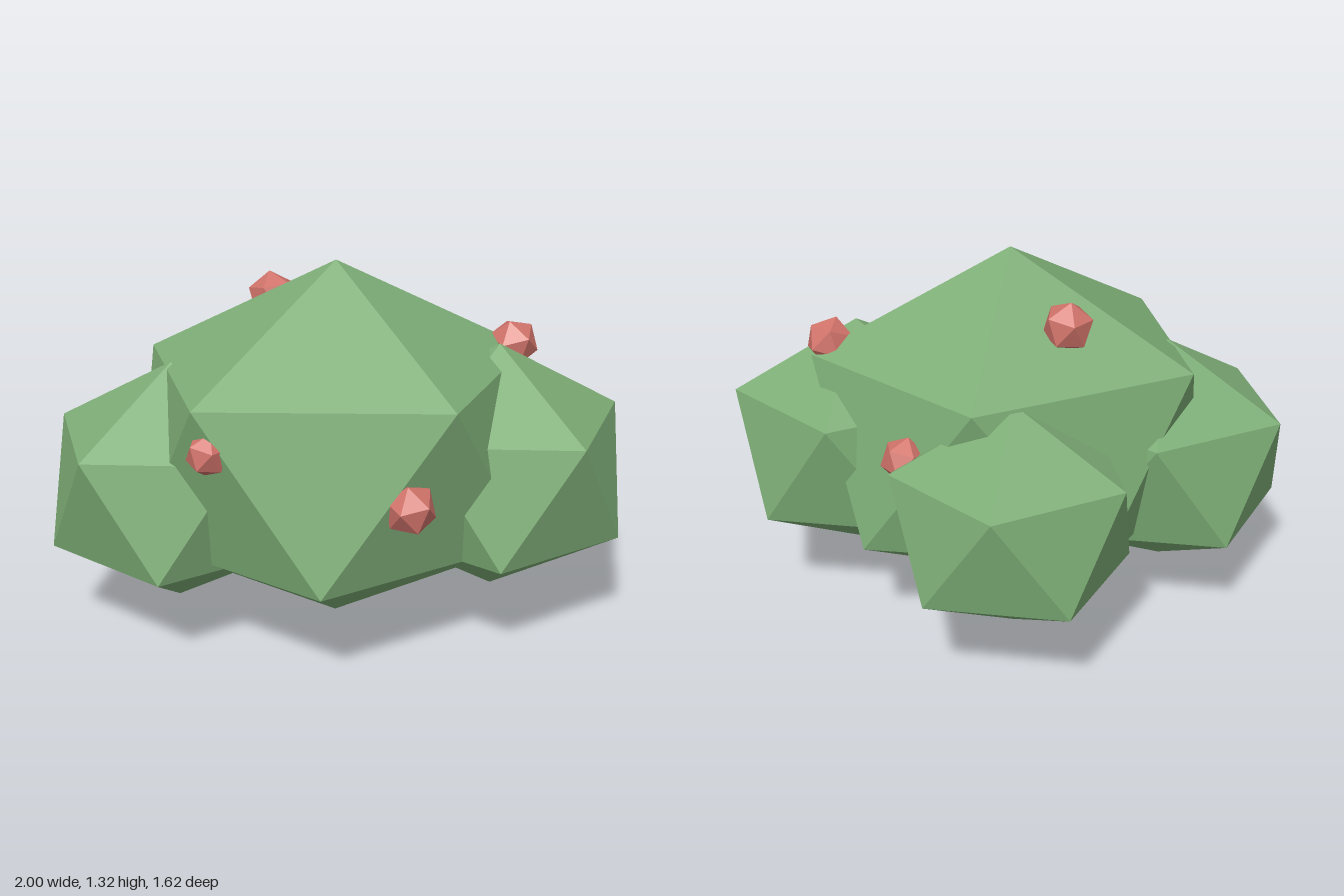
import * as THREE from 'three';

const leafGreen = new THREE.MeshStandardMaterial({ color: 0x7dad76 });
leafGreen.name = 'leafGreen';
const berryRed = new THREE.MeshStandardMaterial({ color: 0xd0736a });
berryRed.name = 'berryRed';

// Faceted ball standing on one vertex, with an upper-ring vertex towards +x
function facetedBall(rx, ry, rz) {
  const geometry = new THREE.IcosahedronGeometry(1, 0);
  geometry.rotateZ(-Math.atan(2 / (1 + Math.sqrt(5))));
  geometry.scale(rx, ry, rz);
  geometry.computeVertexNormals();
  return geometry;
}

export function createModel() {
  const bush = new THREE.Group();
  bush.name = 'berryBush';

  function add(name, geometry, material, position, rotation = [0, 0, 0]) {
    const mesh = new THREE.Mesh(geometry, material);
    mesh.name = name;
    mesh.position.set(...position);
    mesh.rotation.set(...rotation);
    bush.add(mesh);
  }

  // Foliage: one large clump with three smaller ones around it
  add('mainFoliage', facetedBall(0.8, 0.66, 0.728), leafGreen, [0, 0.661, 0.127]);
  const clumps = [
    ['rightFoliage', 0.492, [-0.56, 0.533, 0.028]],
    ['leftFoliage', 0.507, [0.546, 0.57, 0.28]],
    ['backFoliage', 0.462, [0.078, 0.55, -0.42]],
  ];
  for (const [name, r, position] of clumps) {
    add(name, facetedBall(r, r * 0.9, r), leafGreen, position);
  }

  // Berries half sunk into the foliage
  const berries = [
    ['frontBerry', 0.09, [0.077, 0.647, 0.73], [0.25, 0.3, 0.2]],
    ['rightBerry', 0.075, [-0.528, 0.81, 0.51], [0.3, 0.9, -0.2]],
    ['leftBerry', 0.09, [0.645, 0.99, 0.163], [0.2, 0.15, 0.3]],
    ['topBerry', 0.092, [-0.15, 1.128, -0.178], [-0.2, 0.35, 0.1]],
    ['backBerry', 0.08, [0.433, 0.747, -0.335], [-0.1, 0.6, 0.3]],
  ];
  for (const [name, r, position, rotation] of berries) {
    add(name, facetedBall(r, r, r), berryRed, position, rotation);
  }

  return bush;
}
